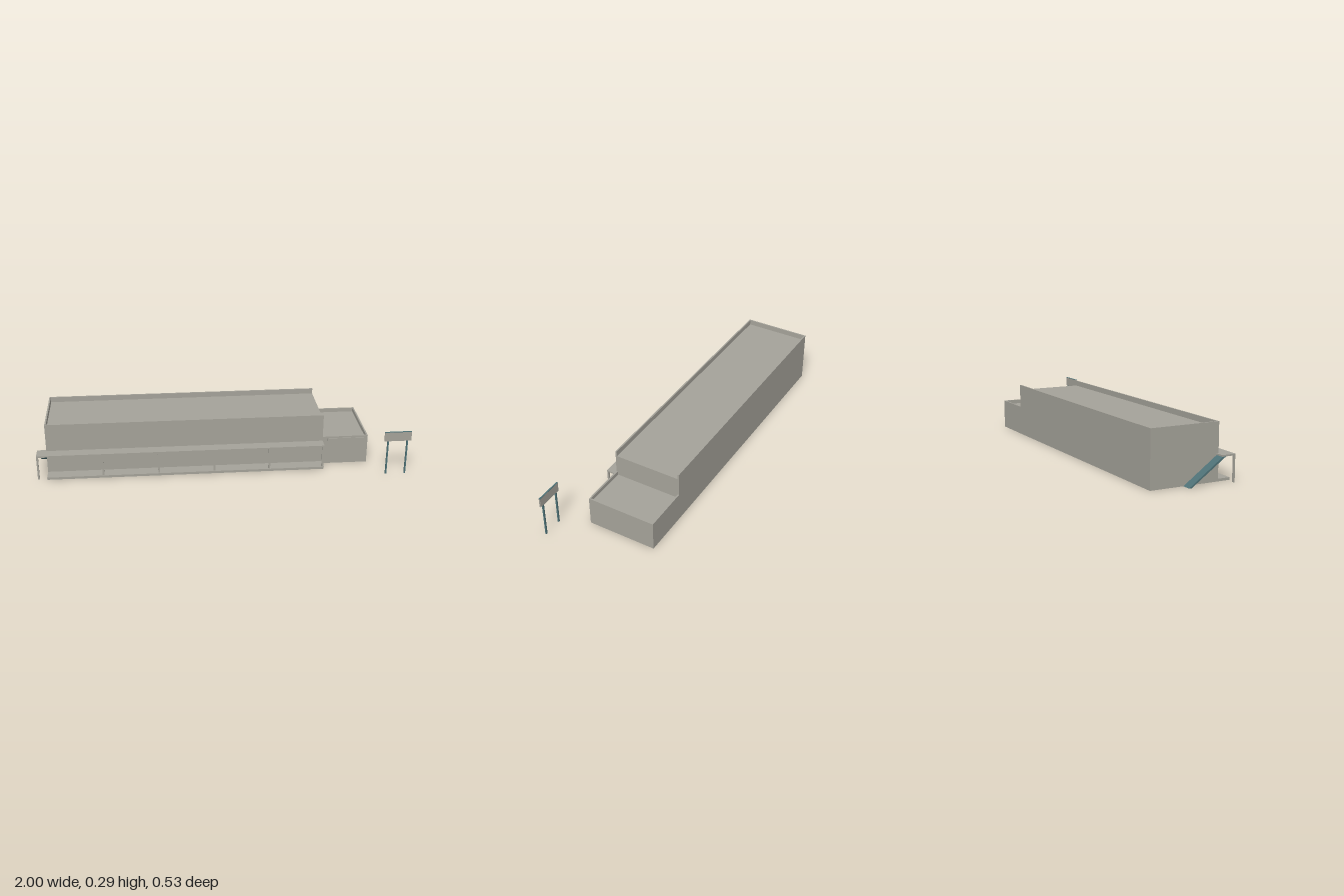
import * as THREE from 'three';

export function createModel() {
  const model = new THREE.Group();
  const concrete = new THREE.MeshStandardMaterial({ color: 0xa5a39a });
  concrete.name = 'warm grey';
  const teal = new THREE.MeshStandardMaterial({ color: 0x4f7277 });
  teal.name = 'dark teal';

  // Box given by its limits on each axis
  function box(name, [x0, x1], [y0, y1], [z0, z1], material = concrete, parent = model) {
    const mesh = new THREE.Mesh(new THREE.BoxGeometry(x1 - x0, y1 - y0, z1 - z0), material);
    mesh.position.set((x0 + x1) / 2, (y0 + y1) / 2, (z0 + z1) / 2);
    mesh.name = name;
    parent.add(mesh);
    return mesh;
  }

  const T = 0.008; // wall thickness
  const left = -0.95, step = 0.55, right = 0.8;
  const back = -0.263, front = 0.113;
  const mainTop = 0.292, annexTop = 0.162;
  const innerZ = [back + T, front - T];

  // Main hall: walls rise above the roof as a parapet, open towards the annex
  const hall = new THREE.Group();
  hall.name = 'mainHall';
  model.add(hall);
  box('hallFrontWall', [left, step], [0, mainTop], [front - T, front], concrete, hall);
  box('hallBackWall', [left, step], [0, mainTop], [back, back + T], concrete, hall);
  box('hallEndWall', [left, left + T], [0, mainTop], innerZ, concrete, hall);
  box('hallRoof', [left + T, step], [0.256, 0.263], innerZ, concrete, hall);
  box('hallStepWall', [step - T, step], [0.134, 0.256], innerZ, concrete, hall);

  // Lower annex with its own parapet
  const annex = new THREE.Group();
  annex.name = 'annex';
  model.add(annex);
  box('annexFrontWall', [step, right], [0, annexTop], [front - T, front], concrete, annex);
  box('annexBackWall', [step, right], [0, annexTop], [back, back + T], concrete, annex);
  box('annexEndWall', [right - T, right], [0, annexTop], innerZ, concrete, annex);
  box('annexRoof', [step, right - T], [0.134, 0.14], innerZ, concrete, annex);
  box('annexFascia', [0.575, 0.78], [0.13, 0.152], [front, 0.117], concrete, annex);

  // Covered walkway along the front
  box('walkway', [left, step], [0, 0.013], [front, 0.18]);
  box('canopy', [-1, step], [0.131, 0.139], [0.1, 0.175]);
  for (const x of [-0.995, -0.65, -0.35, -0.05, 0.25, 0.543]) {
    box('canopyPost', [x - 0.005, x + 0.005], [x < left ? 0 : 0.013, 0.131], [0.166, 0.174]);
  }

  // Sloping ramp beside the end wall, drawn in (z, y) and extruded along x
  const profile = new THREE.Shape([
    new THREE.Vector2(-0.082, 0), new THREE.Vector2(-0.068, 0),
    new THREE.Vector2(0.12, 0.13), new THREE.Vector2(0.102, 0.13),
  ]);
  const rampGeometry = new THREE.ExtrudeGeometry(profile, { depth: 0.05, bevelEnabled: false });
  rampGeometry.rotateY(-Math.PI / 2); // profile x becomes z, depth runs to -x
  const ramp = new THREE.Mesh(rampGeometry, teal);
  ramp.position.x = left;
  ramp.name = 'ramp';
  model.add(ramp);

  // Free-standing roadside board on two posts
  const sign = new THREE.Group();
  sign.name = 'roadsideBoard';
  model.add(sign);
  box('boardPanel', [0.855, 1], [0.195, 0.246], [0.256, 0.264], concrete, sign);
  box('boardCap', [0.855, 1], [0.246, 0.248], [0.256, 0.264], teal, sign);
  for (const x of [0.875, 0.979]) {
    box('boardPost', [x - 0.004, x + 0.004], [0, 0.195], [0.256, 0.264], teal, sign);
  }

  return model;
}
